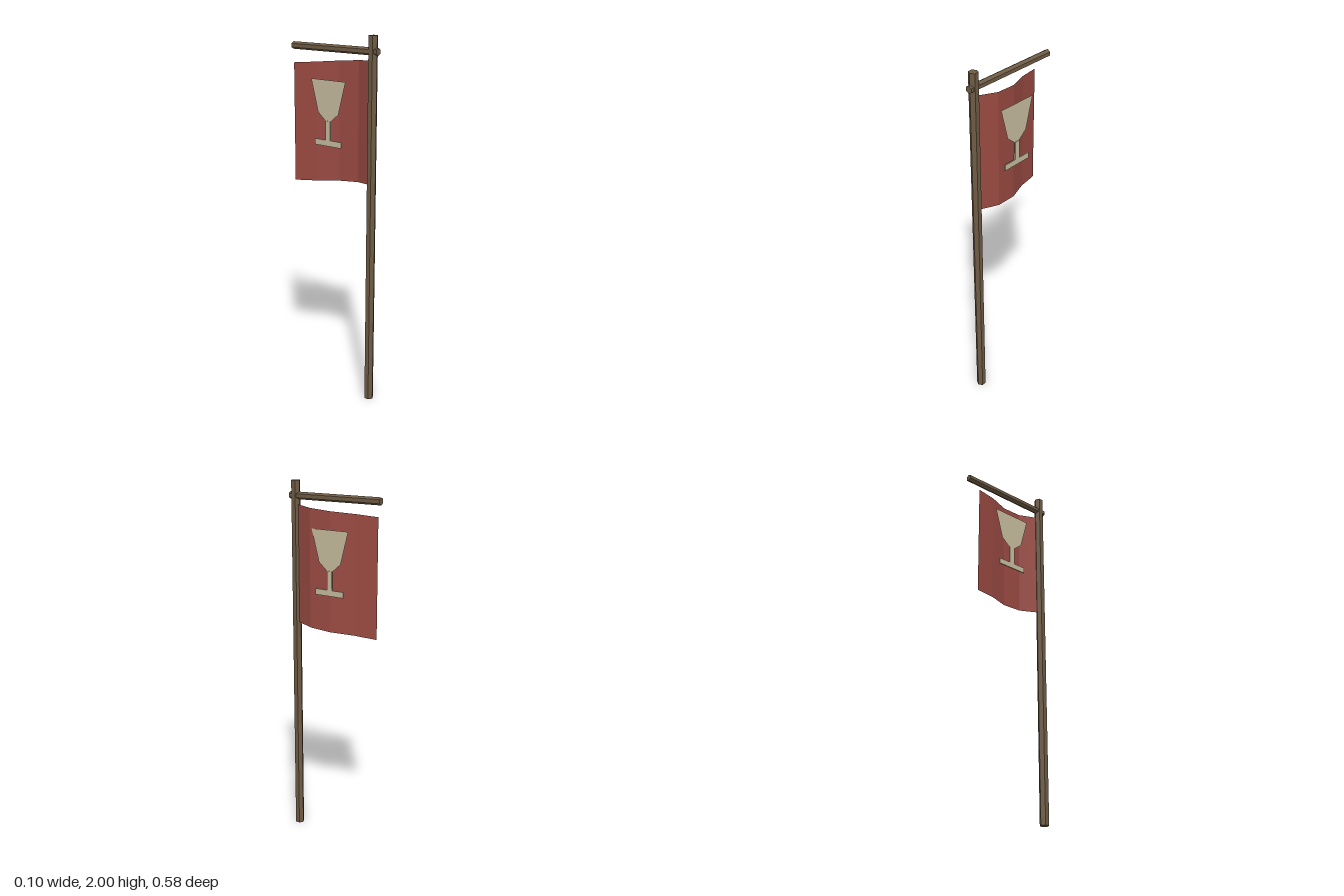
import * as THREE from 'three';

const wood = new THREE.MeshStandardMaterial({ color: 0x6e5b45, flatShading: true });
const red = new THREE.MeshStandardMaterial({ color: 0x9a4a42, flatShading: true, side: THREE.DoubleSide });
const cream = new THREE.MeshStandardMaterial({ color: 0xc4ba9c, flatShading: true, side: THREE.DoubleSide });

function part(name, geometry, material, x, y, z) {
  const mesh = new THREE.Mesh(geometry, material);
  mesh.name = name;
  mesh.position.set(x, y, z);
  return mesh;
}

// Cloth hanging in the y-z plane: four panels in a wave, sagging towards the free end
function clothGeometry() {
  const geo = new THREE.PlaneGeometry(1, 0.645, 4, 1);
  const pos = geo.attributes.position;
  for (let i = 0; i < pos.count; i++) {
    const t = pos.getX(i) + 0.5;
    const y = pos.getY(i) + 1.553 - 0.041 * t;
    pos.setXYZ(i, 0.045 * Math.sin(1.5 * Math.PI * t), y, 0.254 - 0.499 * t);
  }
  geo.computeVertexNormals();
  return geo;
}

// Goblet emblem: flat cup with a box stem and foot, on the side given by sign
function goblet(name, sign) {
  const group = new THREE.Group();
  group.name = name;
  const outline = [[-0.118, 1.76], [-0.07, 1.587], [-0.014, 1.54], [0.014, 1.54], [0.07, 1.587], [0.118, 1.76]];
  const shape = new THREE.Shape(outline.map(([a, b]) => new THREE.Vector2(a, b)));
  const cup = part('cup', new THREE.ShapeGeometry(shape), cream, 0, 0, 0);
  cup.rotation.y = sign * Math.PI / 2;
  group.add(
    cup,
    part('stem', new THREE.BoxGeometry(0.007, 0.11, 0.032), cream, 0, 1.49, 0),
    part('foot', new THREE.BoxGeometry(0.007, 0.032, 0.181), cream, 0, 1.427, 0)
  );
  group.position.set(sign * 0.046, 0, -0.004);
  return group;
}

export function createModel() {
  const model = new THREE.Group();
  model.name = 'bannerPole';

  // Six-sided pole and crossbar
  model.add(part('pole', new THREE.CylinderGeometry(0.0255, 0.0255, 2, 6), wood, 0, 1, 0.254));
  const bar = part('crossbar', new THREE.CylinderGeometry(0.02, 0.02, 0.578, 6), wood, 0, 1.92, -0.001);
  bar.rotation.x = Math.PI / 2;
  model.add(bar);

  // Banner with an emblem on each face
  model.add(part('cloth', clothGeometry(), red, 0, 0, 0));
  model.add(goblet('leftGoblet', 1), goblet('rightGoblet', -1));
  return model;
}
